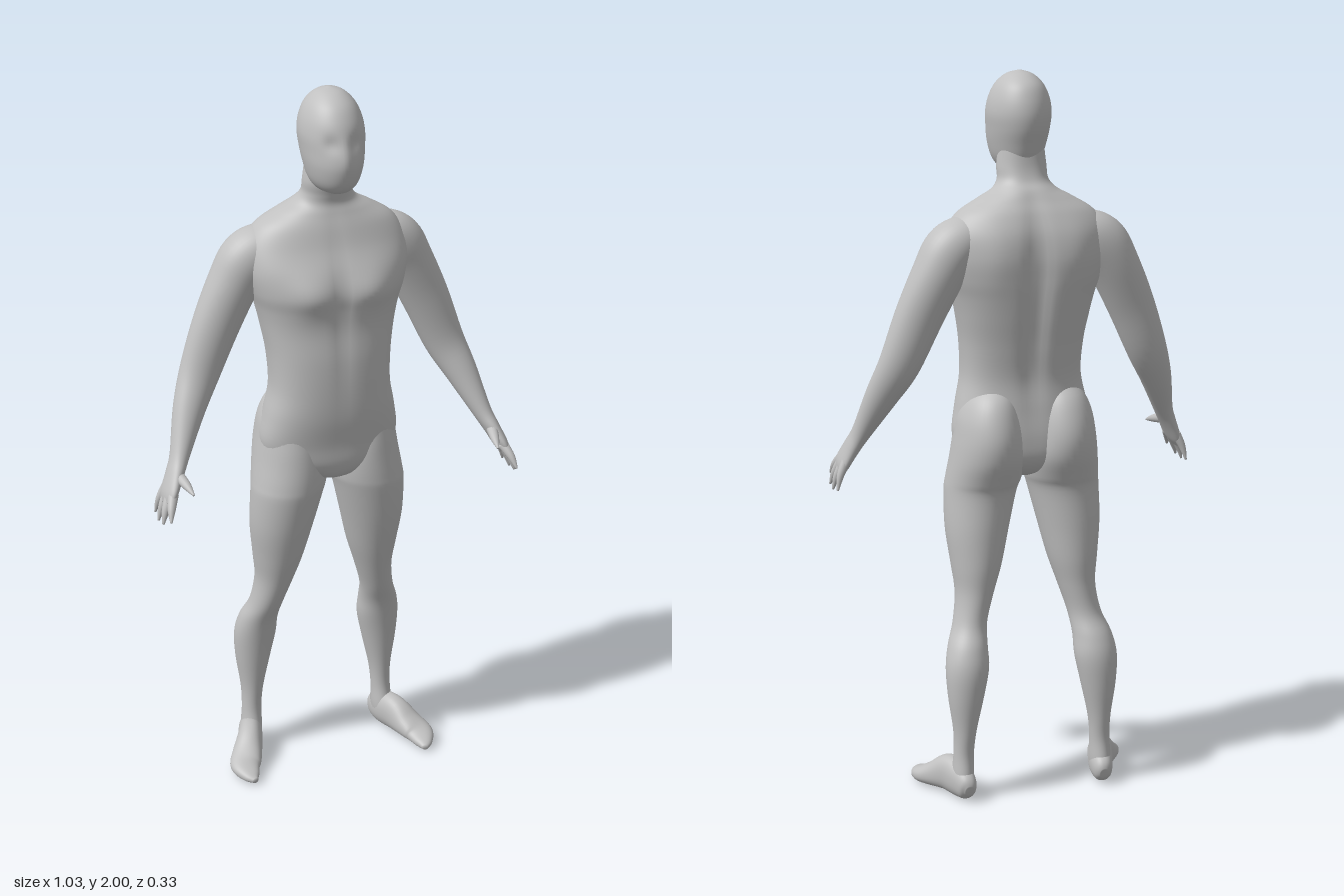
import * as THREE from 'three';

const skin = new THREE.MeshStandardMaterial({ color: 0xc0c0c0 });
skin.name = 'grey skin';

const X = new THREE.Vector3(1, 0, 0);
const Y = new THREE.Vector3(0, 1, 0);
const Z = new THREE.Vector3(0, 0, 1);
const DOWN = new THREE.Vector3(0, -1, 0);

// Catmull-Rom blend between rows of numbers
function sampleRows(rows, t) {
  const n = rows.length - 1;
  const i = Math.min(Math.floor(t * n), n - 1);
  const f = t * n - i;
  const [a, b, c, d] = [-1, 0, 1, 2].map((k) => rows[Math.min(Math.max(i + k, 0), n)]);
  return b.map((_, k) => b[k] + 0.5 * f * (c[k] - a[k]
    + f * (2 * a[k] - 5 * b[k] + 4 * c[k] - d[k]
    + f * (3 * (b[k] - c[k]) + d[k] - a[k]))));
}

// Smooth closed skin over rows [x, y, z, radiusU, radiusV, squareness];
// V leans towards the hint vector, squareness 1 is an ellipse
function loft(name, rows, { hint = Z, direction, sides = 40, steps = 5, detail } = {}) {
  const count = (rows.length - 1) * steps;
  const at = (t) => new THREE.Vector3(...sampleRows(rows, t).slice(0, 3));
  const positions = [];
  const index = [];
  const power = (v, e) => Math.sign(v) * Math.abs(v) ** e;
  for (let i = 0; i <= count; i++) {
    const t = i / count;
    const [x, y, z, ru, rv, e] = sampleRows(rows, t);
    const tangent = direction ? direction.clone()
      : at(Math.min(t + 0.02, 1)).sub(at(Math.max(t - 0.02, 0))).normalize();
    const u = hint.clone().cross(tangent).normalize();
    const v = tangent.clone().cross(u);
    for (let j = 0; j < sides; j++) {
      const a = (j / sides) * Math.PI * 2;
      const p = new THREE.Vector3(x, y, z)
        .addScaledVector(u, Math.max(ru, 0.001) * power(Math.cos(a), e))
        .addScaledVector(v, Math.max(rv, 0.001) * power(Math.sin(a), e));
      if (detail) detail(p, Math.sin(a));
      positions.push(p.x, p.y, p.z);
      if (i < count) {
        const k = i * sides + j;
        const m = i * sides + ((j + 1) % sides);
        index.push(k, m, k + sides, m, m + sides, k + sides);
      }
    }
  }
  // end caps
  const first = positions.length / 3;
  positions.push(...rows[0].slice(0, 3), ...rows[rows.length - 1].slice(0, 3));
  for (let j = 0; j < sides; j++) {
    const m = (j + 1) % sides;
    index.push(first, m, j, first + 1, count * sides + j, count * sides + m);
  }
  const geometry = new THREE.BufferGeometry();
  geometry.setAttribute('position', new THREE.Float32BufferAttribute(positions, 3));
  geometry.setIndex(index);
  geometry.computeVertexNormals();
  const mesh = new THREE.Mesh(geometry, skin);
  mesh.name = name;
  return mesh;
}

// Horizontal section: height, centre x, half width, front z, back z, squareness
const level = (y, x, w, front, back, e = 1) => [x, y, (front + back) / 2, w, (front - back) / 2, e];
const bump = (d, size) => Math.exp(-((d / size) ** 2));

// Chest muscles, shoulder blades, spine and belly line
function torsoDetail(p, facing) {
  const x = Math.abs(p.x);
  const front = Math.max(facing, 0);
  const back = Math.max(-facing, 0);
  p.z += front * 0.02 * bump(x - 0.085, 0.07) * bump(p.y - 1.465, 0.055);
  p.z -= front * 0.006 * bump(x, 0.02) * bump(p.y - 1.4, 0.2);
  p.z -= back * 0.01 * bump(x - 0.115, 0.06) * bump(p.y - 1.53, 0.1);
  p.z += back * 0.02 * bump(x, 0.03) * bump(p.y - 1.4, 0.24);
}

// Brow, eye hollows and nose
function headDetail(p, facing) {
  const front = Math.max(facing, 0);
  p.z -= front * 0.009 * bump(Math.abs(p.x) - 0.034, 0.02) * bump(p.y - 1.875, 0.022);
  p.z += front * 0.004 * bump(p.x, 0.014) * bump(p.y - 1.84, 0.03);
}

const torso = [
  level(1.80, 0, 0.062, 0.045, -0.062), level(1.75, 0, 0.068, 0.05, -0.068),
  level(1.715, 0, 0.07, 0.042, -0.08), level(1.69, 0, 0.09, 0.038, -0.1),
  level(1.665, 0, 0.135, 0.045, -0.115, 0.95), level(1.63, 0, 0.19, 0.058, -0.135, 0.9),
  level(1.58, 0, 0.222, 0.075, -0.153, 0.85), level(1.52, 0, 0.226, 0.1, -0.16, 0.8),
  level(1.46, 0, 0.213, 0.112, -0.158, 0.78), level(1.41, 0, 0.197, 0.112, -0.153, 0.8),
  level(1.35, 0, 0.183, 0.112, -0.143, 0.8), level(1.27, 0, 0.17, 0.118, -0.127, 0.8),
  level(1.18, 0, 0.167, 0.118, -0.113, 0.8), level(1.10, 0, 0.183, 0.113, -0.118, 0.82),
  level(1.02, 0, 0.195, 0.1, -0.125, 0.85), level(0.96, 0, 0.17, 0.094, -0.12, 0.9),
  level(0.92, 0, 0.1, 0.075, -0.09), level(0.9, 0, 0.03, 0.04, -0.05),
];

const head = [
  level(2.0, 0, 0.004, 0.009, 0.001), level(1.99, 0, 0.035, 0.05, -0.035),
  level(1.965, 0, 0.062, 0.088, -0.07), level(1.93, 0, 0.079, 0.112, -0.088),
  level(1.89, 0, 0.086, 0.126, -0.095), level(1.85, 0, 0.083, 0.134, -0.09),
  level(1.81, 0, 0.077, 0.138, -0.076), level(1.77, 0, 0.066, 0.128, -0.06),
  level(1.745, 0, 0.05, 0.11, -0.04), level(1.733, 0, 0.028, 0.085, -0.01),
];

// Buttock and hip down to the ankle
const leg = [
  level(1.17, 0.09, 0.03, 0.02, -0.07), level(1.13, 0.098, 0.065, 0.055, -0.12),
  level(1.08, 0.102, 0.085, 0.08, -0.147), level(1.02, 0.103, 0.095, 0.09, -0.16),
  level(0.96, 0.104, 0.103, 0.095, -0.153), level(0.9, 0.112, 0.104, 0.097, -0.128),
  level(0.86, 0.12, 0.1, 0.094, -0.114), level(0.76, 0.133, 0.088, 0.075, -0.115),
  level(0.66, 0.14, 0.07, 0.048, -0.115), level(0.58, 0.149, 0.053, 0.022, -0.11),
  level(0.5, 0.167, 0.047, -0.005, -0.116), level(0.44, 0.182, 0.055, -0.03, -0.145),
  level(0.38, 0.188, 0.06, -0.045, -0.161), level(0.3, 0.194, 0.05, -0.058, -0.159),
  level(0.2, 0.198, 0.032, -0.07, -0.146), level(0.13, 0.201, 0.028, -0.072, -0.138),
  level(0.07, 0.203, 0.03, -0.06, -0.145), level(0.03, 0.203, 0.025, -0.06, -0.145),
];

// Heel to toes
const foot = [
  [0.199, 0.035, -0.155, 0.012, 0.015, 0.9], [0.2, 0.04, -0.14, 0.026, 0.036, 0.9],
  [0.208, 0.05, -0.1, 0.034, 0.05, 0.9], [0.225, 0.055, -0.05, 0.036, 0.053, 0.9],
  [0.25, 0.038, 0, 0.043, 0.036, 0.9], [0.268, 0.026, 0.04, 0.043, 0.024, 0.9],
  [0.266, 0.018, 0.085, 0.026, 0.015, 0.9], [0.26, 0.015, 0.11, 0.008, 0.007, 1],
];

// Shoulder through elbow and wrist to the knuckles
const arm = [
  [0.12, 1.585, -0.05, 0.035, 0.05, 1], [0.165, 1.57, -0.05, 0.062, 0.068, 1],
  [0.21, 1.535, -0.053, 0.076, 0.073, 1], [0.25, 1.47, -0.055, 0.071, 0.067, 1],
  [0.302, 1.36, -0.05, 0.066, 0.054, 1], [0.353, 1.235, -0.04, 0.057, 0.046, 1],
  [0.395, 1.145, -0.008, 0.045, 0.04, 1], [0.438, 1.04, 0.041, 0.027, 0.032, 1],
  [0.46, 0.995, 0.062, 0.022, 0.038, 1], [0.482, 0.95, 0.08, 0.018, 0.046, 1],
  [0.492, 0.925, 0.087, 0.01, 0.04, 1],
];

// Base, middle and tip of each digit
const digits = {
  thumb: [[0.455, 0.995, 0.08, 0.016, 0.016, 1], [0.445, 0.984, 0.125, 0.011, 0.012, 1], [0.438, 0.972, 0.163, 0.003, 0.003, 1]],
  indexFinger: [[0.478, 0.955, 0.105, 0.015, 0.015, 1], [0.492, 0.926, 0.135, 0.011, 0.011, 1], [0.5, 0.898, 0.157, 0.003, 0.003, 1]],
  middleFinger: [[0.482, 0.95, 0.09, 0.015, 0.015, 1], [0.5, 0.912, 0.106, 0.011, 0.011, 1], [0.511, 0.877, 0.117, 0.003, 0.003, 1]],
  ringFinger: [[0.482, 0.95, 0.07, 0.014, 0.014, 1], [0.502, 0.91, 0.075, 0.01, 0.01, 1], [0.513, 0.872, 0.078, 0.003, 0.003, 1]],
  littleFinger: [[0.482, 0.955, 0.05, 0.014, 0.014, 1], [0.5, 0.918, 0.043, 0.01, 0.01, 1], [0.51, 0.878, 0.036, 0.003, 0.003, 1]],
};

export function createModel() {
  const model = new THREE.Group();
  model.name = 'humanFigure';
  model.add(
    loft('torsoAndNeck', torso, { direction: DOWN, sides: 96, steps: 6, detail: torsoDetail }),
    loft('head', head, { direction: DOWN, sides: 64, steps: 6, detail: headDetail }),
  );
  // limbs on both sides
  for (const [side, s] of [['left', 1], ['right', -1]]) {
    const mirror = (rows) => rows.map(([x, ...rest]) => [s * x, ...rest]);
    const hand = new THREE.Group();
    hand.name = `${side}Fingers`;
    for (const [name, rows] of Object.entries(digits)) {
      hand.add(loft(`${side} ${name}`, mirror(rows), { hint: X, sides: 14 }));
    }
    model.add(
      loft(`${side}Leg`, mirror(leg), { direction: DOWN }),
      loft(`${side}Foot`, mirror(foot), { hint: Y, detail: (p) => { p.y = Math.max(p.y, 0); } }),
      loft(`${side}Arm`, mirror(arm)),
      hand,
    );
  }
  return model;
}
